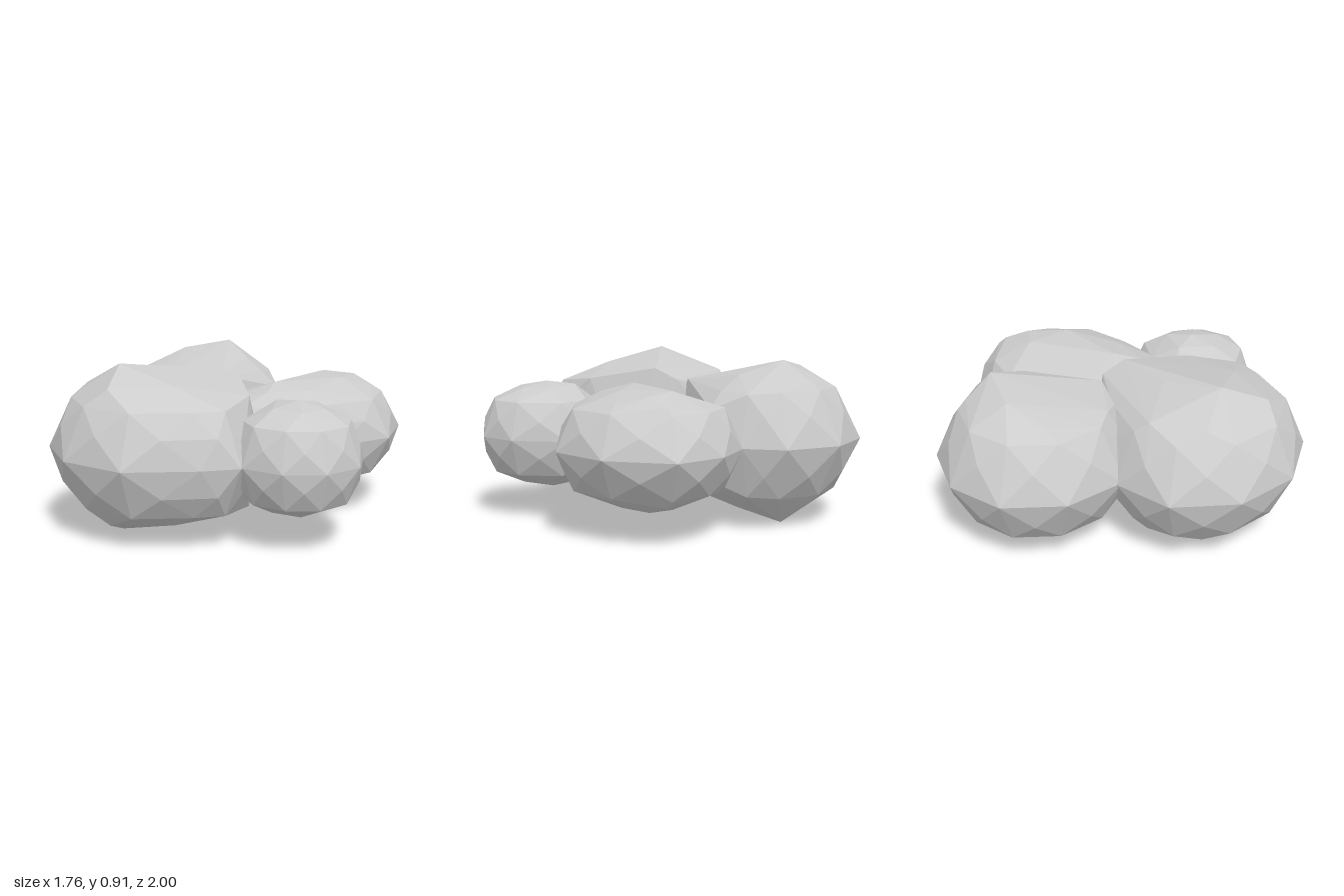
import * as THREE from 'three';
import { ConvexGeometry } from 'three/addons/geometries/ConvexGeometry.js';

const MID = 0.455; // height of the symmetry plane shared by all lobes

// Each lobe: equator outline (x, z), staggered rings (scale, height) and crown points (x, height, z)
const LOBES = {
  frontLargeLobe: {
    outline: [[-0.88, 0.2], [-0.87, 0.57], [-0.65, 0.87], [-0.29, 1.0], [0.08, 0.87], [0.26, 0.77],
      [0.27, 0.48], [0.21, 0.2], [0.04, -0.13], [-0.3, -0.17], [-0.66, -0.05]],
    rings: [[0.95, 0.15], [0.8, 0.27]],
    crown: [[-0.48, 0.455, 0.5], [0.03, 0.37, 0.03], [0.2, 0.3, 0.4], [0.14, 0.27, 0.67],
      [-0.71, 0.33, 0.4], [-0.3, 0.4, 0.22], [-0.14, 0.37, 0.62], [-0.45, 0.36, 0.75],
      [-0.6, 0.325, 0.12], [-0.02, 0.31, -0.09]],
  },
  backLobe: {
    outline: [[-0.32, -1.0], [-0.01, -0.9], [0.12, -0.7], [0.16, -0.5], [0.02, -0.18], [-0.08, 0.0],
      [-0.32, 0.1], [-0.64, -0.01], [-0.84, -0.3], [-0.84, -0.64], [-0.64, -0.9]],
    rings: [[0.92, 0.16], [0.75, 0.28]],
    crown: [[-0.22, 0.44, -0.69], [-0.48, 0.395, -0.6], [-0.1, 0.31, -0.1], [-0.06, 0.36, -0.52],
      [-0.42, 0.3, -0.08], [-0.3, 0.325, -0.82], [-0.62, 0.32, -0.4], [0.14, 0.19, -0.5],
      [0.04, 0.27, -0.67]],
  },
  longLobe: {
    outline: [[0.12, -0.71], [0.38, -0.82], [0.68, -0.8], [0.88, -0.48], [0.87, -0.12], [0.65, 0.12],
      [0.36, 0.35], [0.1, 0.38], [-0.1, 0.25], [-0.15, 0.02], [-0.1, -0.18], [0.07, -0.5]],
    rings: [[0.96, 0.11], [0.82, 0.21]],
    crown: [[0.6, 0.29, -0.52], [0.42, 0.305, -0.5], [0.57, 0.305, -0.28], [0.24, 0.305, -0.02],
      [0.45, 0.27, 0.02], [0.23, 0.27, 0.14], [0.72, 0.245, -0.4], [0.6, 0.25, -0.65]],
  },
  smallLobe: {
    outline: [[0.61, 0.11], [0.8, 0.35], [0.82, 0.58], [0.69, 0.77], [0.48, 0.83], [0.26, 0.76],
      [0.14, 0.58], [0.16, 0.32], [0.36, 0.14]],
    rings: [[0.97, 0.1], [0.8, 0.2]],
    crown: [[0.47, 0.3, 0.46], [0.62, 0.265, 0.48], [0.53, 0.27, 0.62], [0.37, 0.27, 0.58],
      [0.34, 0.28, 0.37], [0.54, 0.275, 0.32]],
  },
};

function lobeGeometry({ outline, rings, crown }) {
  const n = outline.length;
  const cx = outline.reduce((s, p) => s + p[0], 0) / n;
  const cz = outline.reduce((s, p) => s + p[1], 0) / n;
  const points = outline.map(([x, z]) => new THREE.Vector3(x, MID, z));
  const addMirrored = (x, h, z) => {
    points.push(new THREE.Vector3(x, MID + h, z), new THREE.Vector3(x, MID - h, z));
  };
  // Alternate rings sit between the corners of the one below
  rings.forEach(([scale, h], r) => {
    for (let i = 0; i < n; i++) {
      const a = outline[i];
      const b = r % 2 ? a : outline[(i + 1) % n];
      addMirrored(cx + ((a[0] + b[0]) / 2 - cx) * scale, h, cz + ((a[1] + b[1]) / 2 - cz) * scale);
    }
  });
  crown.forEach((p) => addMirrored(...p));
  return new ConvexGeometry(points);
}

export function createModel() {
  const model = new THREE.Group();
  model.name = 'lobedCluster';
  const material = new THREE.MeshStandardMaterial({ color: 0xcccccc });
  material.name = 'paleGrey';
  material.flatShading = true;
  for (const [name, lobe] of Object.entries(LOBES)) {
    const mesh = new THREE.Mesh(lobeGeometry(lobe), material);
    mesh.name = name;
    model.add(mesh);
  }
  return model;
}
